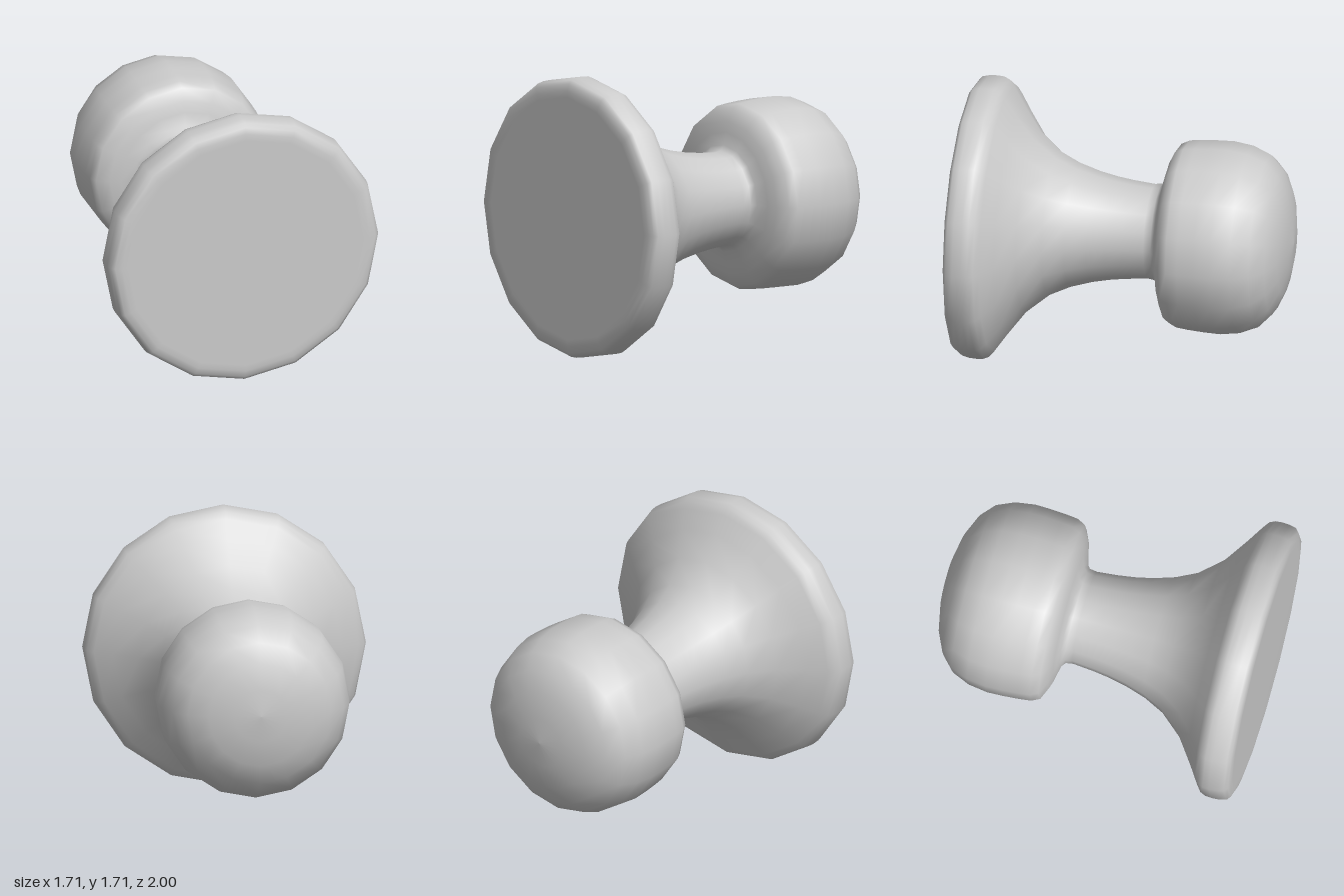
import * as THREE from 'three';

export function createModel() {
  const group = new THREE.Group();
  const material = new THREE.MeshStandardMaterial({ color: 0xcccccc });

  // Turned profile as [radius, position along the axis], grip to base
  const gripProfile = [
    [0, -1], [0.16, -0.988], [0.315, -0.955], [0.435, -0.9], [0.52, -0.82],
    [0.566, -0.71], [0.583, -0.59], [0.58, -0.49], [0.573, -0.39],
    [0.565, -0.32], [0.54, -0.27], [0.465, -0.235], [0.4, -0.22],
  ];
  const stemProfile = [
    [0.325, -0.2], [0.293, -0.175], [0.286, -0.13], [0.298, 0], [0.312, 0.1],
    [0.335, 0.21], [0.375, 0.34], [0.435, 0.465], [0.55, 0.6],
    [0.695, 0.705], [0.8, 0.775],
  ];
  const baseProfile = [
    [0.838, 0.805], [0.853, 0.84], [0.856, 0.88], [0.853, 0.93],
    [0.843, 0.97], [0.82, 0.99], [0.78, 0.999], [0.74, 1], [0, 1],
  ];

  // One continuous 16-sided lathe, laid down so the base faces +z
  const points = [...gripProfile, ...stemProfile, ...baseProfile]
    .map(([r, z]) => new THREE.Vector2(r, z));
  const geometry = new THREE.LatheGeometry(points, 16);
  geometry.rotateX(Math.PI / 2);
  geometry.translate(0, 0.856, 0);

  const knob = new THREE.Mesh(geometry, material);
  knob.name = 'knob';
  group.add(knob);
  return group;
}
